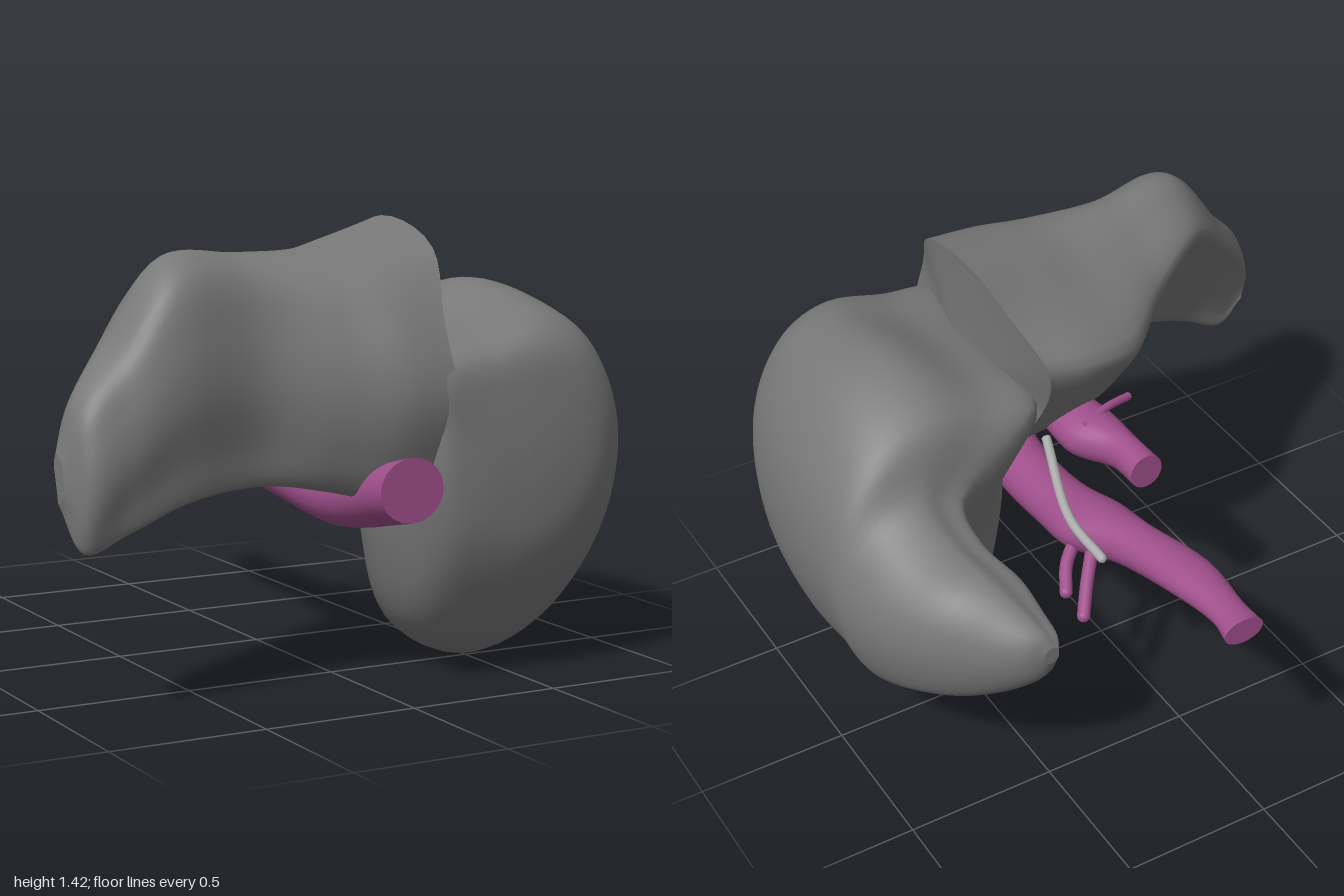
import * as THREE from 'three';

const grey = new THREE.MeshStandardMaterial({ color: 0x787878, side: THREE.DoubleSide });
const paleGrey = new THREE.MeshStandardMaterial({ color: 0xaaaaaa });
const purple = new THREE.MeshStandardMaterial({ color: 0xa0508c, side: THREE.DoubleSide });
const mix = THREE.MathUtils.lerp;

// Skin a list of closed rings of Vector3 and close both ends with flat caps
function skin(rings) {
  const n = rings[0].length, last = rings.length - 1;
  const pos = [], index = [];
  rings.forEach(r => r.forEach(p => pos.push(p.x, p.y, p.z)));
  for (let i = 0; i < last; i++) for (let j = 0; j < n; j++) {
    const k = (j + 1) % n, a = i * n + j, b = i * n + k;
    index.push(a, a + n, b, b, a + n, b + n);
  }
  for (const i of [0, last]) {
    const base = pos.length / 3, c = new THREE.Vector3();
    rings[i].forEach(p => { pos.push(p.x, p.y, p.z); c.addScaledVector(p, 1 / n); });
    pos.push(c.x, c.y, c.z);
    for (let j = 0; j < n; j++) {
      const k = (j + 1) % n;
      index.push(base + n, base + (i ? k : j), base + (i ? j : k));
    }
  }
  const g = new THREE.BufferGeometry();
  g.setAttribute('position', new THREE.Float32BufferAttribute(pos, 3));
  g.setIndex(index);
  g.computeVertexNormals();
  return g;
}

// Smooth a few cross-sections around and along, then skin them
function loft(sections, around = 60, along = 60) {
  const loops = sections.map(s => new THREE.CatmullRomCurve3(s, true).getPoints(around).slice(0, around));
  const rails = loops[0].map((_, j) => new THREE.CatmullRomCurve3(loops.map(l => l[j])).getPoints(along));
  return skin(rails[0].map((_, i) => rails.map(r => r[i])));
}

// Thin lobe stations: x, lower edge z y, front z, top z y, rear rim z y, sag of the underside
const thinStations = [
  [-1, .67, .64, .71, .67, .78, .64, .75, 0],
  [-.95, .74, .50, .79, .66, .94, .59, .86, 0],
  [-.82, .76, .55, .80, .61, 1.09, .50, 1.02, 0],
  [-.62, .74, .62, .78, .57, 1.33, .38, 1.20, 0],
  [-.35, .68, .64, .73, .52, 1.33, .20, 1.17, .05],
  [-.12, .70, .61, .80, .50, 1.33, -.02, 1.17, .12],
  [.06, .74, .57, .87, .42, 1.36, -.08, 1.20, .15],
  [.18, .76, .52, .885, .30, 1.41, -.07, 1.22, .17],
];

// Slab section: bulging front, rounded top, sharp rear rim, hollow underside
function thinSection([x, zb, yb, zf, zt, yt, zr, yr, sag], i) {
  const w = zf - zt, h = yt - yb;
  const outline = [
    [zb, yb], [zf - .1 * w, yb + .18 * h], [zf, yb + .42 * h], [zf - .1 * w, yb + .67 * h],
    [zf - .4 * w, yb + .91 * h], [zt, yt], [mix(zt, zr, .5), mix(yt, yr, .5) + .02], [zr, yr],
  ];
  for (const t of [.2, .4, .6, .8]) {
    const s = sag * 4 * t * (1 - t);
    outline.push([mix(zr, zb, t) - s / 2, mix(yr, yb, t) - s]);
  }
  // The last section leans out over the cleft and, below it, into the thick lobe
  const lean = i === thinStations.length - 1 ? .3 : 0;
  return outline.map(([z, y]) => new THREE.Vector3(x + lean * Math.abs(y - 1.04), y, z));
}

// Thick lobe stations: z, inner corner x y, top x y, outer x, bottom x y, inner x
const thickStations = [
  [-.625, .53, .64, .55, .65, .58, .56, .59, .53],
  [-.60, .52, .67, .57, .69, .65, .58, .52, .53],
  [-.52, .52, .70, .60, .74, .75, .65, .44, .54],
  [-.40, .53, .75, .65, .80, .86, .74, .37, .61],
  [-.23, .57, .79, .69, .84, .95, .81, .30, .70],
  [-.08, .55, .85, .70, .92, .99, .77, .21, .65],
  [.03, .22, 1.01, .58, 1.11, 1, .68, .14, .53],
  [.30, .18, 1.02, .60, 1.20, 1, .51, 0, .22],
  [.60, .17, 1.02, .62, 1.16, .96, .46, .03, .16],
  [.79, .15, 1.01, .58, 1.11, .88, .45, .23, .17],
  [.87, .17, .97, .54, 1.03, .77, .45, .40, .20],
  [.895, .30, .85, .48, .87, .62, .45, .58, .30],
  [.90, .42, .73, .45, .74, .48, .45, .70, .42],
];

// Rounded section made of elliptical quarters, with a flat inner wall and sloping top
function thickSection([z, xc, yc, xt, yt, xo, xb, yb, xi]) {
  const yo = mix(yb, yt, .52), yi = mix(yb, yc, .4);
  const arc = (x0, y0, x1, y1, t) => {
    const a = t * Math.PI / 2;
    return [mix(x0, x1, Math.sin(a)), mix(y1, y0, Math.cos(a))];
  };
  return [
    [xc, yc], [mix(xc, xt, .5), mix(yc, yt, .52)], [xt, yt],
    arc(xt, yt, xo, yo, 1 / 3), arc(xt, yt, xo, yo, 2 / 3), [xo, yo],
    arc(xb, yb, xo, yo, 2 / 3), arc(xb, yb, xo, yo, 1 / 3), [xb, yb],
    arc(xb, yb, xi, yi, .5), [xi, yi], [mix(xi, xc, .5), mix(yi, yc, .5)],
  ].map(([x, y]) => new THREE.Vector3(x, y, z));
}

// Vessel running along z: stations of x, y, z, half width, half height
function vessel(stations) {
  return loft(stations.map(([x, y, z, w, h]) => Array.from({ length: 10 }, (_, i) => {
    const a = -i / 10 * Math.PI * 2;
    return new THREE.Vector3(x + w * Math.cos(a), y + h * Math.sin(a), z);
  })), 20, 28);
}

export function createModel() {
  const model = new THREE.Group();
  const add = (name, geometry, material) => {
    const mesh = new THREE.Mesh(geometry, material);
    mesh.name = name;
    model.add(mesh);
  };

  add('thinLobe', loft(thinStations.map(thinSection)), grey);
  add('thickLobe', loft(thickStations.map(thickSection)), grey);

  // Long vein passing under the organ from back to front
  add('mainVein', vessel([
    [.06, .725, -.93, .07, .045], [.05, .72, -.83, .06, .045], [.04, .69, -.6, .085, .06], [.07, .63, -.3, .085, .08],
    [.10, .59, -.12, .12, .09], [.11, .55, .08, .10, .09], [.10, .53, .4, .10, .095], [.03, .635, .93, .11, .10],
  ]), purple);
  // Short vein entering below the rear rim
  add('shortVein', vessel([
    [-.01, .86, -.26, .058, .06], [-.01, .85, -.12, .06, .065], [.02, .84, .02, .10, .08], [.03, .84, .18, .09, .08],
  ]), purple);

  // Small side branches and a thin duct: name, radius, material, path from free end inward
  const twigs = [
    ['rearBranch', .022, purple, [[.29, .47, -.37], [.23, .52, -.29], [.12, .60, -.16]]],
    ['sideBranch', .022, purple, [[.29, .49, -.26], [.24, .53, -.18], [.14, .58, -.1]]],
    ['crossBranch', .014, purple, [[-.15, .89, .08], [-.04, .91, .04], [.07, .90, 0]]],
    ['duct', .016, paleGrey, [[.24, .71, -.4], [.25, .75, -.22], [.16, .84, .08]]],
  ];
  for (const [name, r, material, path] of twigs) {
    const curve = new THREE.CatmullRomCurve3(path.map(p => new THREE.Vector3(...p)));
    add(name, new THREE.TubeGeometry(curve, 16, r, 10), material);
    add(name + 'Tip', new THREE.SphereGeometry(r, 10, 8).translate(...path[0]), material);
  }
  return model;
}
